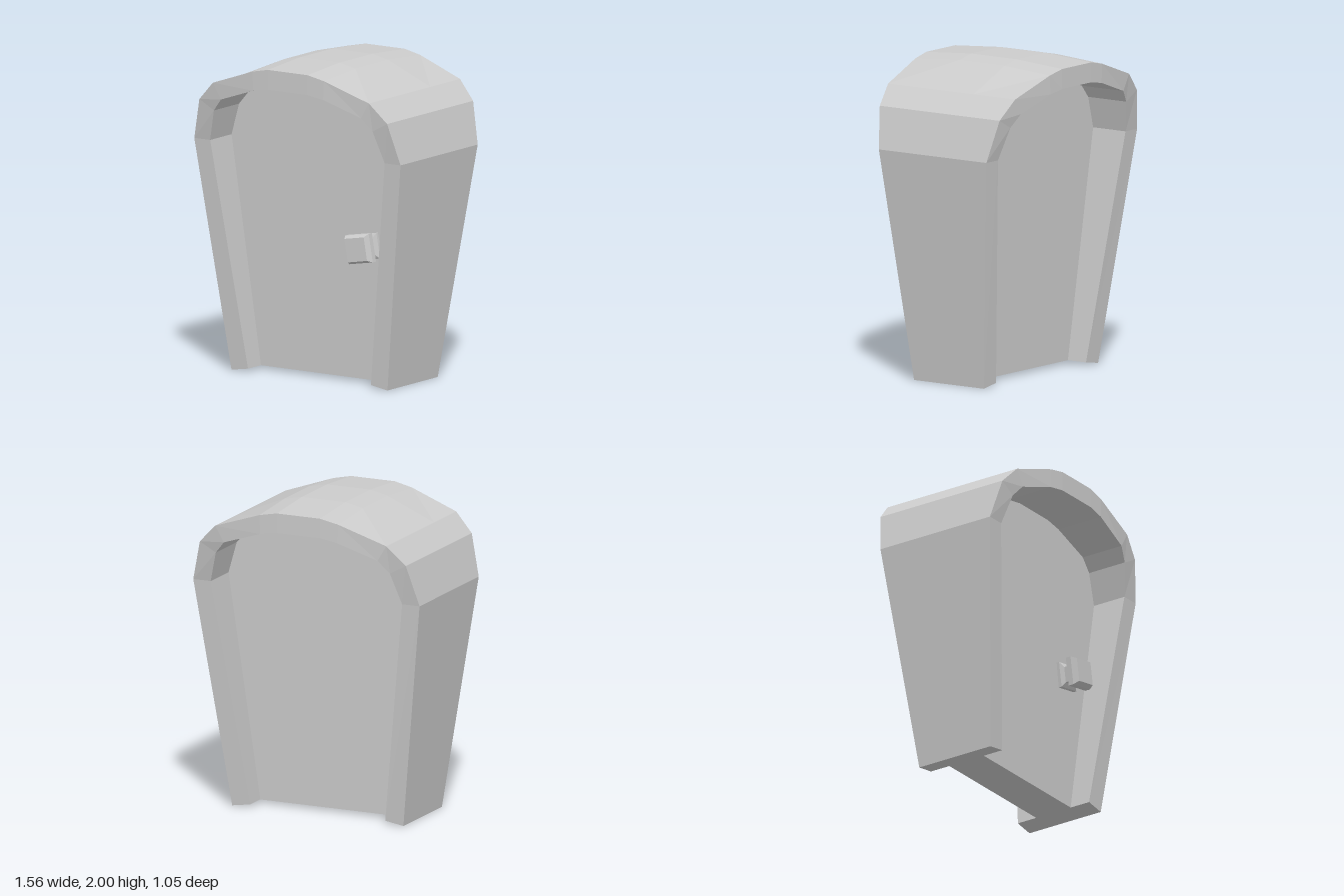
import * as THREE from 'three';

const material = new THREE.MeshStandardMaterial({ color: 0xcccccc, flatShading: true });

// Right half of the arch from foot to crown:
// outer x, outer y, inner x, inner y, front z, back z, roof bulge
const HALF = [
  [0.59, 0, 0.465, 0.02, 0.29, -0.25, 0],
  [0.78, 1.46, 0.66, 1.46, 0.42, -0.41, 0],
  [0.71, 1.72, 0.6, 1.66, 0.465, -0.46, 0],
  [0.59, 1.84, 0.53, 1.74, 0.49, -0.49, 0],
  [0.27, 1.95, 0.265, 1.83, 0.52, -0.52, 0.025],
  [0.15, 1.975, 0.15, 1.85, 0.525, -0.525, 0.025],
];

// Mirrors a half outline into a full arch, right foot to left foot
function arch(toPoint) {
  const right = HALF.map(toPoint);
  const left = right.map(([x, y, z]) => [-x, y, z]).reverse();
  return [...right, ...left];
}

function meshFrom(name, triangles) {
  const geometry = new THREE.BufferGeometry();
  geometry.setAttribute('position', new THREE.Float32BufferAttribute(triangles.flat(2), 3));
  geometry.computeVertexNormals();
  const mesh = new THREE.Mesh(geometry, material);
  mesh.name = name;
  return mesh;
}

const quad = (a, b, c, d) => [[a, b, c], [a, c, d]];

function fan(points) {
  const triangles = [];
  for (let i = 1; i < points.length - 1; i++) triangles.push([points[0], points[i], points[i + 1]]);
  return triangles;
}

export function createModel() {
  const group = new THREE.Group();
  group.name = 'door';

  // Sections running from the front panel edge, around the frame, to the back panel edge
  const panelFront = arch(([, , x, y]) => [x, y, 0.15 + 0.027 * y]);
  const panelBack = arch(([, , x, y]) => [x, y, -0.11 - 0.034 * y]);
  const innerFront = arch(([, , x, y, z]) => [x, y, z]);
  const innerBack = arch(([, , x, y, , z]) => [x, y, z]);
  const outerFront = arch(([x, y, , , z]) => [x, y, z]);
  const outerBack = arch(([x, y, , , , z]) => [x, y, z]);
  const bulge = (z) => arch(([x, y, , , , , rise]) => [x, y + rise, z]);
  const rings = [panelFront, innerFront, outerFront, bulge(0.18), bulge(-0.17), outerBack, innerBack, panelBack];

  // Frame: arch faces, reveals and flared outside
  const frame = [];
  for (let i = 0; i < rings.length - 1; i++) {
    for (let j = 0; j < panelFront.length - 1; j++) {
      frame.push(...quad(rings[i][j], rings[i + 1][j], rings[i + 1][j + 1], rings[i][j + 1]));
    }
  }
  // Slanted undersides of the two feet
  const last = panelFront.length - 1;
  frame.push(...quad(innerFront[0], innerBack[0], outerBack[0], outerFront[0]));
  frame.push(...quad(outerFront[last], outerBack[last], innerBack[last], innerFront[last]));
  group.add(meshFrom('frame', frame));

  // Recessed door faces and the underside between them
  group.add(meshFrom('frontPanel', fan(panelFront)));
  group.add(meshFrom('backPanel', fan([...panelBack].reverse())));
  group.add(meshFrom('panelUnderside', quad(panelFront[last], panelBack[last], panelBack[0], panelFront[0])));

  // Square knob: mounting plate, waist and bevelled grip, as half side and height
  const profile = [[0.08, -0.02], [0.08, 0.02], [0.05, 0.035], [0.05, 0.06], [0.09, 0.08], [0.09, 0.115], [0.074, 0.15], [0, 0.15]]
    .map(([half, h]) => new THREE.Vector2(half * Math.SQRT2, h));
  const knobGeometry = new THREE.LatheGeometry(profile, 4);
  knobGeometry.rotateY(Math.PI / 4).rotateX(Math.PI / 2);
  const knob = new THREE.Mesh(knobGeometry, material);
  knob.name = 'knob';
  knob.position.set(0.373, 0.867, 0.173);
  knob.rotation.z = THREE.MathUtils.degToRad(10);
  group.add(knob);

  return group;
}
